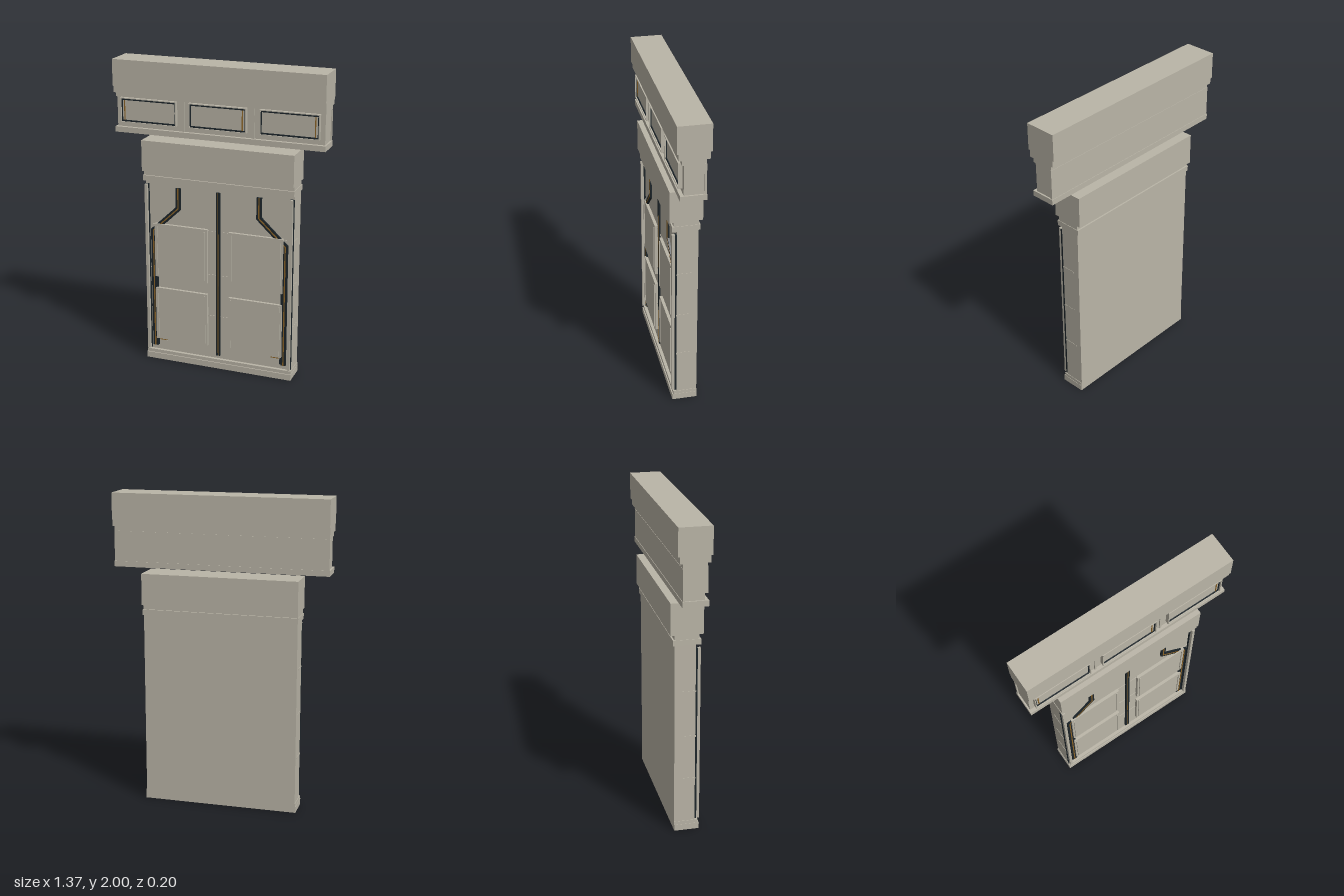
import * as THREE from 'three';

const mat = (name, color) => Object.assign(new THREE.MeshStandardMaterial({ color }), { name });

export function createModel() {
  const stone = mat('stone', 0xbab5a7);
  const dark = mat('darkMetal', 0x1d262b);
  const brass = mat('brass', 0x8c6428);
  const root = new THREE.Group();
  root.name = 'panelledWall';
  const lower = new THREE.Group(), upper = new THREE.Group();
  lower.name = 'lowerWall';
  upper.name = 'upperFrieze';
  root.add(lower, upper);

  // Box given by its limits on each axis
  const box = (parent, name, m, x0, x1, y0, y1, z0, z1) => {
    const mesh = new THREE.Mesh(new THREE.BoxGeometry(x1 - x0, y1 - y0, z1 - z0), m);
    mesh.position.set((x0 + x1) / 2, (y0 + y1) / 2, (z0 + z1) / 2);
    mesh.name = name;
    parent.add(mesh);
  };

  // Flat ribbon following a bent path, with mitred corners
  const ribbon = (name, m, path, width, z0, z1) => {
    const pts = path.map(p => new THREE.Vector2(...p));
    const normals = pts.slice(1).map((p, i) => {
      const d = p.clone().sub(pts[i]).normalize();
      return new THREE.Vector2(-d.y, d.x);
    });
    const side = s => pts.map((p, i) => {
      const a = normals[Math.max(i - 1, 0)], b = normals[Math.min(i, normals.length - 1)];
      const n = a.clone().add(b).normalize();
      return p.clone().addScaledVector(n, s * width / 2 / n.dot(a));
    });
    const shape = new THREE.Shape([...side(1), ...side(-1).reverse()]);
    const mesh = new THREE.Mesh(new THREE.ExtrudeGeometry(shape, { depth: z1 - z0, bevelEnabled: false }), m);
    mesh.position.z = z0;
    mesh.name = name;
    lower.add(mesh);
  };

  // Rectangular frame ring
  const frame = (parent, name, m, x0, x1, y0, y1, t, z0, z1) => {
    box(parent, name, m, x0, x1, y1 - t, y1, z0, z1);
    box(parent, name, m, x0, x1, y0, y0 + t, z0, z1);
    box(parent, name, m, x0, x0 + t, y0 + t, y1 - t, z0, z1);
    box(parent, name, m, x1 - t, x1, y0 + t, y1 - t, z0, z1);
  };

  // Lower wall: stacked courses [name, half width, y0, y1, back z, front z]
  [
    ['base', 0.5, 0, 0.04, -0.075, 0.082],
    ['baseMoulding', 0.498, 0.04, 0.062, -0.075, 0.075],
    ['wallBody', 0.495, 0.062, 1.235, -0.075, 0.055],
    ['lowerMoulding', 0.5, 1.235, 1.27, -0.085, 0.085],
    ['neckMoulding', 0.497, 1.27, 1.3, -0.075, 0.075],
    ['cornice', 0.5, 1.3, 1.5, -0.1, 0.1],
  ].forEach(([n, w, y0, y1, z0, z1]) => box(lower, n, stone, -w, w, y0, y1, z0, z1));

  // Thin course bands across the front and round the sides
  for (const y of [0.355, 0.64, 0.935])
    box(lower, 'courseBand', stone, -0.497, 0.497, y - 0.005, y + 0.005, -0.035, 0.058);

  // Central metal strip
  box(lower, 'centreStrip', dark, -0.014, 0.014, 0.085, 1.2, 0.055, 0.066);
  box(lower, 'centreInlay', brass, -0.002, 0.002, 0.085, 1.2, 0.066, 0.067);

  for (const s of [-1, 1]) {
    const sideBox = (n, m, a, b, ...r) => box(lower, n, m, Math.min(s * a, s * b), Math.max(s * a, s * b), ...r);
    // Edge rails with a dark channel behind
    sideBox('edgeChannel', dark, 0.469, 0.496, 0.07, 1.21, 0.055, 0.066);
    sideBox('edgeRail', stone, 0.474, 0.492, 0.07, 1.21, 0.066, 0.085);
    // Bent metal strip with inlay
    const path = [[s * 0.27, 1.2], [s * 0.27, 1.065], [s * 0.444, 0.9], [s * 0.444, 0.09]];
    ribbon('bentStrip', dark, path, 0.034, 0.055, 0.066);
    ribbon('bentInlay', brass, path, 0.008, 0.066, 0.068);
    sideBox('innerStrip', dark, 0.418, 0.43, 0.095, 0.9, 0.055, 0.063);
    sideBox('footTab', brass, 0.36, 0.415, 0.134, 0.145, 0.055, 0.064);
    sideBox('footTabLedge', stone, 0.36, 0.41, 0.125, 0.134, 0.055, 0.064);
    // Raised stone panels with slender upright beads
    for (const y of [0.145, 0.587]) {
      sideBox('wallPanel', stone, 0.072, 0.432, y, y + 0.363, 0.055, 0.074);
      for (const x of [0.086, 0.412])
        sideBox('panelBead', stone, x, x + 0.007, y + 0.015, y + 0.348, 0.074, 0.08);
    }
  }

  // Upper frieze courses
  [
    ['friezeFoot', 0.685, 1.535, 1.57, -0.075, 0.08],
    ['friezeBody', 0.675, 1.57, 1.76, -0.06, 0.058],
    ['friezeBack', 0.682, 1.57, 1.76, -0.072, -0.06],
    ['friezeNeck', 0.68, 1.76, 1.79, -0.07, 0.07],
    ['friezeMoulding', 0.685, 1.79, 1.832, -0.09, 0.09],
    ['friezeCornice', 0.685, 1.832, 2, -0.1, 0.1],
  ].forEach(([n, w, y0, y1, z0, z1]) => box(upper, n, stone, -w, w, y0, y1, z0, z1));

  // Three framed frieze panels
  for (const x of [-0.458, 0, 0.458]) {
    box(upper, 'friezePanel', stone, x - 0.188, x + 0.188, 1.602, 1.758, 0.058, 0.07);
    frame(upper, 'friezeFrame', stone, x - 0.188, x + 0.188, 1.6, 1.758, 0.006, 0.07, 0.084);
    for (const y of [1.606, 1.742])
      box(upper, 'frameLine', dark, x - 0.18, x + 0.18, y, y + 0.009, 0.07, 0.076);
    for (const s of [-1, 1]) {
      const c = x + s * 0.178;
      box(upper, 'frameSide', dark, c - 0.003, c + 0.003, 1.615, 1.742, 0.07, 0.075);
    }
    const c = x + (x < 0 ? -0.162 : 0.16);
    box(upper, 'brassLine', brass, c - 0.003, c + 0.003, 1.615, 1.742, 0.07, 0.074);
  }
  // Dividers between the frieze panels
  for (const x of [-0.228, 0.228])
    box(upper, 'friezeDivider', stone, x - 0.006, x + 0.006, 1.57, 1.76, 0.058, 0.066);

  return root;
}
